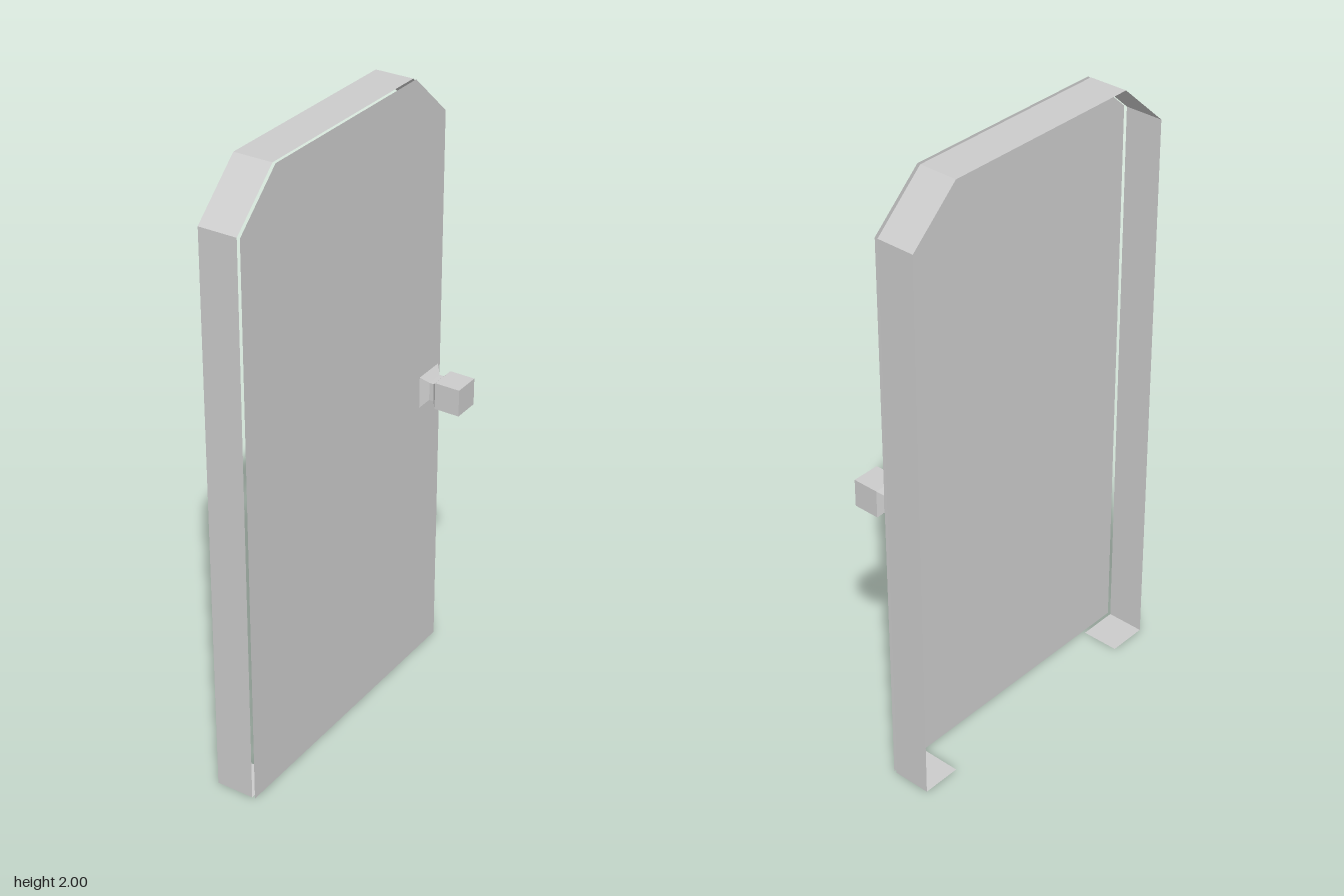
import * as THREE from 'three';

const BACK = -0.135, FACE = -0.01;   // x of the open back and of the door face
const HALF = 0.51;                   // half width along z
const FOOT = 0.13;                   // width of the bottom flanges

// Door outline as [z, y], up one side, over the clipped corners and down the other
const OUTLINE = [[HALF, 0], [HALF, 1.85], [0.345, 2], [-0.345, 2], [-HALF, 1.85], [-HALF, 0]];

const material = new THREE.MeshStandardMaterial({
  color: 0xcccccc, flatShading: true, side: THREE.DoubleSide,
});

function part(name, geometry) {
  const mesh = new THREE.Mesh(geometry, material);
  mesh.name = name;
  return mesh;
}

// Thin rim running back from the door face along the sides and top
function rimGeometry() {
  const positions = [], index = [];
  for (const [z, y] of OUTLINE) positions.push(BACK, y, z, FACE, y, z);
  for (let i = 0; i < OUTLINE.length - 1; i++) {
    const a = i * 2;
    index.push(a, a + 1, a + 3, a, a + 3, a + 2);
  }
  const indexed = new THREE.BufferGeometry();
  indexed.setAttribute('position', new THREE.Float32BufferAttribute(positions, 3));
  indexed.setIndex(index);
  const geometry = indexed.toNonIndexed();
  geometry.computeVertexNormals();
  return geometry;
}

export function createModel() {
  const door = new THREE.Group();
  door.name = 'door';

  // Flat face of the door, turned to look along +x
  const shape = new THREE.Shape(OUTLINE.map(([z, y]) => new THREE.Vector2(z, y)));
  door.add(part('doorFace', new THREE.ShapeGeometry(shape).rotateY(Math.PI / 2)));
  door.add(part('doorRim', rimGeometry()));

  // Small flanges under the two bottom corners
  for (const side of [1, -1]) {
    const flange = part(side > 0 ? 'frontFlange' : 'backFlange',
      new THREE.PlaneGeometry(FACE - BACK, FOOT).rotateX(Math.PI / 2));
    flange.position.set((FACE + BACK) / 2, 0, side * (HALF - FOOT / 2));
    door.add(flange);
  }

  // Square knob: flared base, neck and block, as [half size, distance from face]
  const profile = [[0.064, 0], [0.03, 0.031], [0.03, 0.046], [0.045, 0.06], [0.045, 0.145], [0, 0.145]]
    .map(([half, d]) => new THREE.Vector2(half * Math.SQRT2, d));
  const knob = part('knob',
    new THREE.LatheGeometry(profile, 4, Math.PI / 4).rotateZ(-Math.PI / 2));
  knob.position.set(FACE, 0.965, -0.446);
  door.add(knob);

  return door;
}
